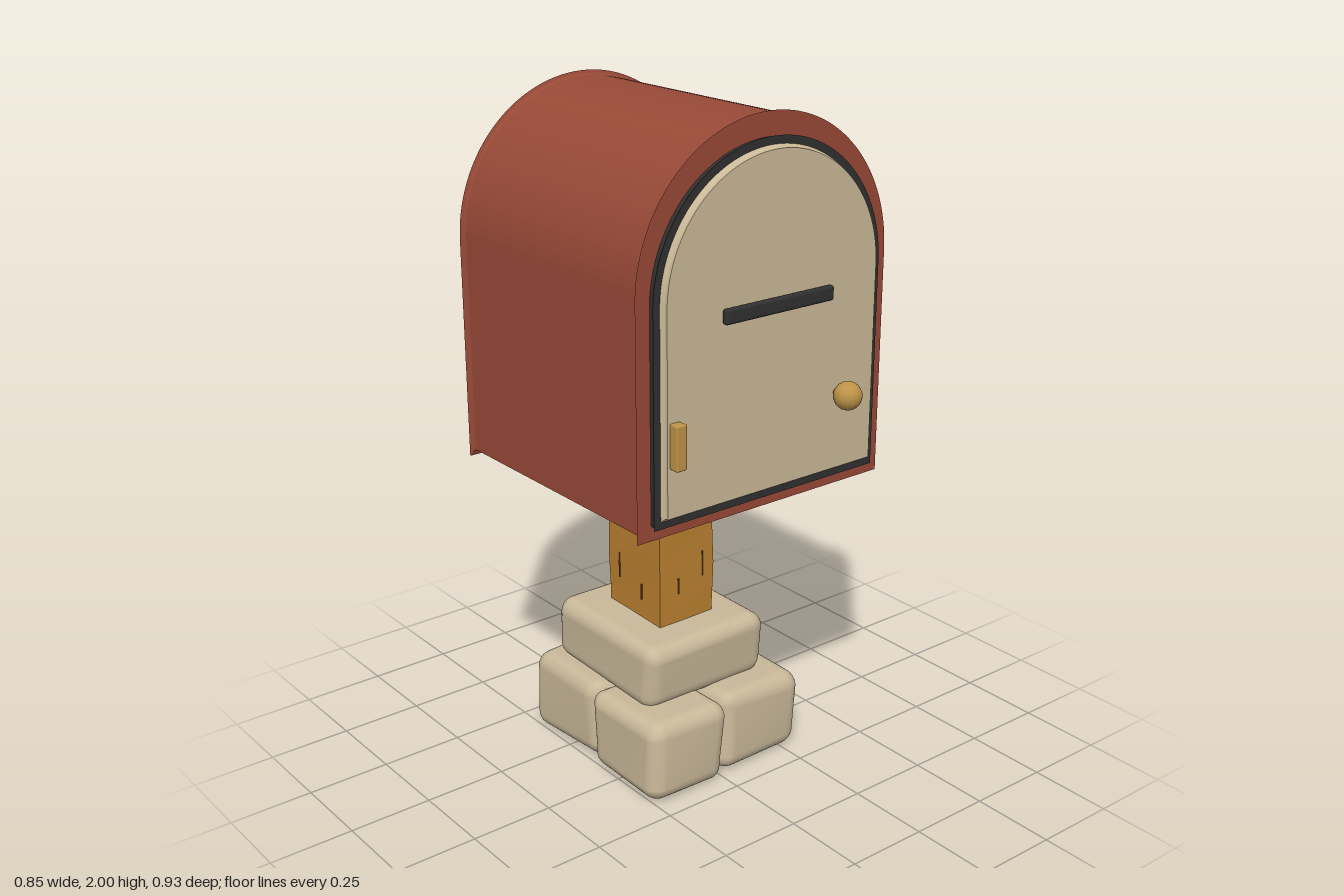
import * as THREE from 'three';
import { toCreasedNormals, mergeVertices } from 'three/addons/utils/BufferGeometryUtils.js';
import { RoundedBoxGeometry } from 'three/addons/geometries/RoundedBoxGeometry.js';

function material(name, color) {
  const m = new THREE.MeshStandardMaterial({ color });
  m.name = name;
  return m;
}

export function createModel() {
  const red = material('brick red', 0x984937);
  const cream = material('cream', 0xcab896);
  const black = material('charcoal', 0x303030);
  const brass = material('brass', 0xbd9348);
  const wood = material('wood', 0xba8030);
  const crackWood = material('dark wood', 0x6e4a1a);
  const stoneMat = material('stone', 0xc9b899);

  const model = new THREE.Group();
  model.name = 'mailbox';
  const add = (name, geometry, mat, x = 0, y = 0, z = 0, parent = model) => {
    const mesh = new THREE.Mesh(geometry, mat);
    mesh.name = name;
    mesh.position.set(x, y, z);
    parent.add(mesh);
    return mesh;
  };

  // Arched slab lofted through sections [z, inset], so its rims can flare
  function archSlab(halfWidth, bottom, top, sections) {
    const centre = top - halfWidth;
    const shape = new THREE.Shape();
    shape.moveTo(-halfWidth, bottom - centre);
    shape.lineTo(halfWidth, bottom - centre);
    shape.lineTo(halfWidth, 0);
    shape.absarc(0, 0, halfWidth, 0, Math.PI, false);
    shape.closePath();
    const steps = sections.length - 1;
    const geo = new THREE.ExtrudeGeometry(shape, { depth: 1, steps, bevelEnabled: false, curveSegments: 40 });
    const p = geo.attributes.position;
    for (let i = 0; i < p.count; i++) {
      const [z, inset] = sections[Math.round(p.getZ(i) * steps)];
      const s = 1 - inset / halfWidth;
      p.setXYZ(i, p.getX(i) * s, p.getY(i) * s + centre, z);
    }
    return toCreasedNormals(geo, 0.45);
  }

  // Box with flared rims, door frame and door
  add('box', archSlab(0.425, 0.93, 2.0, [
    [-0.467, 0], [-0.463, 0.008], [-0.455, 0.013], [0.328, 0.013], [0.336, 0.008], [0.34, 0],
  ]), red);
  add('doorFrame', archSlab(0.385, 0.965, 1.94, [[0.338, 0.005], [0.354, 0.005], [0.36, 0]]), black);
  add('door', archSlab(0.365, 0.983, 1.92, [[0.358, 0], [0.366, 0.006], [0.372, 0.009], [0.38, 0.009]]), cream);

  // Door fittings
  add('mailSlot', new RoundedBoxGeometry(0.37, 0.042, 0.02, 3, 0.008), black, 0, 1.51, 0.394);
  add('hinge', new RoundedBoxGeometry(0.034, 0.125, 0.032, 2, 0.005), brass, -0.333, 1.197, 0.395);
  add('knob', new THREE.SphereGeometry(0.04, 16, 12), brass, 0.225, 1.22, 0.425);
  const stem = add('knobStem', new THREE.CylinderGeometry(0.012, 0.012, 0.04, 12), brass, 0.225, 1.22, 0.392);
  stem.rotation.x = Math.PI / 2;

  // Post: a gently uneven beam
  const support = new THREE.Group();
  support.name = 'post';
  support.position.set(0.027, 0, -0.147);
  model.add(support);
  const postGeo = new THREE.BoxGeometry(0.198, 0.58, 0.246, 1, 6, 1);
  const pp = postGeo.attributes.position;
  for (let i = 0; i < pp.count; i++) {
    const x = pp.getX(i), y = pp.getY(i), z = pp.getZ(i);
    const k = 1 + 0.02 * Math.sin(y * 17 + Math.sign(x) * 1.3 + Math.sign(z) * 2);
    pp.setXYZ(i, x * k, y, z * k);
  }
  add('postBeam', toCreasedNormals(postGeo, 0.5), wood, 0, 0.69, 0, support);

  // Grain cracks: thin slivers [across, y, length] on each pair of faces
  for (const side of [1, -1]) {
    for (const [u, y, h] of [[-0.055, 0.85, 0.1], [0.03, 0.9, 0.07], [0.06, 0.6, 0.08], [-0.03, 0.55, 0.05]]) {
      add('grainCrack', new THREE.BoxGeometry(0.004, h, 0.008), crackWood, u * side, y, side * 0.1225, support);
      add('grainCrack', new THREE.BoxGeometry(0.008, h, 0.004), crackWood, side * 0.0985, y - 0.03, u * side * 1.2, support);
    }
  }

  // Slanted braces on either side of the post
  const braceShape = new THREE.Shape([
    [0.05, 0.96], [0.05, 0.86], [0.105, 0.832], [0.145, 0.828], [0.172, 0.845], [0.225, 0.925], [0.232, 0.96],
  ].map(([x, y]) => new THREE.Vector2(x, y)));
  for (const side of [1, -1]) {
    const geo = new THREE.ExtrudeGeometry(braceShape, {
      depth: 0.13, bevelEnabled: true, bevelSize: 0.009, bevelThickness: 0.01, bevelSegments: 2,
    });
    geo.translate(0, 0, -0.065);
    const brace = add('brace', toCreasedNormals(geo, 0.5), wood, 0, 0, -0.012, support);
    if (side < 0) brace.rotation.y = Math.PI;
    brace.position.z = -0.012;
  }

  // Rounded stones given by min and max corners, nudged by a smooth wave
  function stone(name, [x0, y0, z0], [x1, y1, z1], seed) {
    let geo = new RoundedBoxGeometry(x1 - x0, y1 - y0, z1 - z0, 4, 0.048);
    geo.translate((x0 + x1) / 2, (y0 + y1) / 2, (z0 + z1) / 2);
    geo.deleteAttribute('normal');
    geo.deleteAttribute('uv');
    geo = mergeVertices(geo, 1e-4);
    const p = geo.attributes.position;
    for (let i = 0; i < p.count; i++) {
      const x = p.getX(i), y = p.getY(i), z = p.getZ(i);
      const flat = y < 0.001;
      p.setXYZ(i,
        x + 0.006 * Math.sin(y * 19 + z * 13 + seed),
        flat ? 0 : Math.max(0, y + 0.004 * Math.sin(x * 17 + z * 11 + seed * 2)),
        z + 0.006 * Math.sin(x * 15 + y * 21 + seed * 3));
    }
    geo.computeVertexNormals();
    add(name, geo, stoneMat);
  }
  stone('frontRightStone', [-0.262, 0, -0.125], [0.012, 0.25, 0.195], 1);
  stone('frontLeftStone', [0.008, 0, -0.13], [0.31, 0.25, 0.178], 2.3);
  stone('backRightStone', [-0.25, 0, -0.445], [0.018, 0.25, -0.115], 3.7);
  stone('backLeftStone', [0.01, 0, -0.445], [0.31, 0.25, -0.125], 5.1);
  stone('topStone', [-0.198, 0.235, -0.39], [0.242, 0.437, 0.09], 0.6);
  // Mortar core closing the gaps between the lower stones
  add('stoneCore', new THREE.BoxGeometry(0.42, 0.22, 0.5), stoneMat, 0.025, 0.11, -0.125);

  return model;
}
